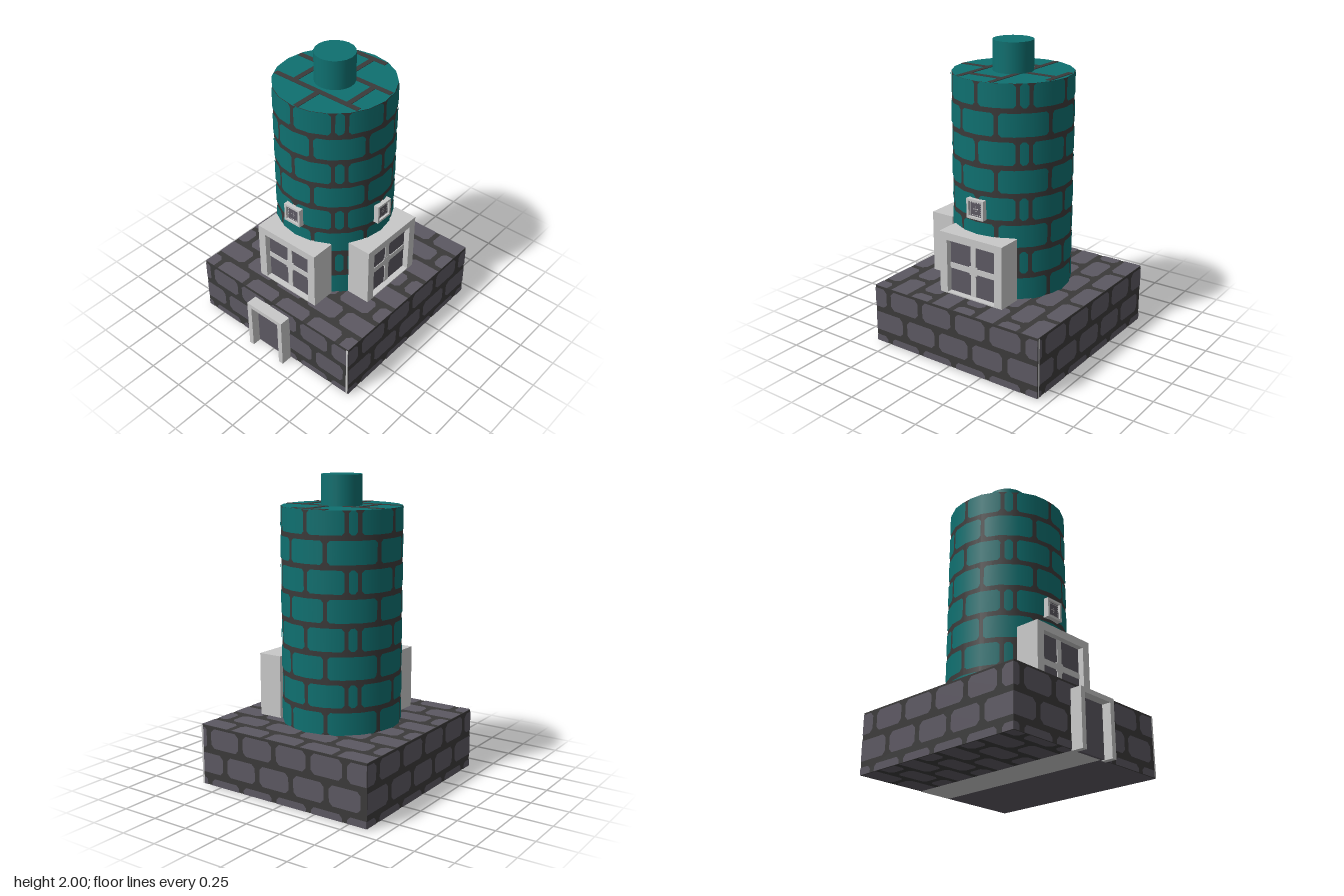
import * as THREE from 'three';
import { mergeGeometries } from 'three/addons/utils/BufferGeometryUtils.js';

const mat = (name, color) => {
  const m = new THREE.MeshStandardMaterial({ color });
  m.name = name;
  return m;
};

// Rectangle with chamfered corners (only on sides that are not cut by the wall edge)
function brickShape(x0, x1, y0, y1, cut) {
  const c = Math.min(0.025, (x1 - x0) / 3, (y1 - y0) / 2.2);
  const bl = cut.l || cut.b ? 0 : c, br = cut.r || cut.b ? 0 : c;
  const tr = cut.r || cut.t ? 0 : c, tl = cut.l || cut.t ? 0 : c;
  const pts = [[x0 + bl, y0], [x1 - br, y0], [x1, y0 + br], [x1, y1 - tr],
    [x1 - tr, y1], [x0 + tl, y1], [x0, y1 - tl], [x0, y0 + bl]];
  const unique = pts.filter((p, i) => {
    const q = pts[(i + 1) % 8];
    return Math.hypot(p[0] - q[0], p[1] - q[1]) > 1e-5;
  });
  return new THREE.Shape(unique.map(([x, y]) => new THREE.Vector2(x, y)));
}

// Running-bond bricks in the xy plane, clipped to w by h; v0 is a bed joint, u0 a joint of the row above it
function brickPanel(w, h, u0, v0, pitch = 0.265, rowHeight = 0.17) {
  const shapes = [], W = w / 2, H = h / 2, half = 0.019;
  for (let k = -10; k <= 10; k++) {
    const a = v0 + k * rowHeight + half, b = v0 + (k + 1) * rowHeight - half;
    const y0 = Math.max(a, -H), y1 = Math.min(b, H);
    if (y1 - y0 < 0.008) continue;
    for (let j = -10; j <= 10; j++) {
      const u = u0 + (j + (k % 2 ? 0.5 : 0)) * pitch;
      const x0 = Math.max(u + half, -W), x1 = Math.min(u + pitch - half, W);
      if (x1 - x0 < 0.008) continue;
      shapes.push(brickShape(x0, x1, y0, y1,
        { l: u + half < -W, r: u + pitch - half > W, b: a < -H, t: b > H }));
    }
  }
  return new THREE.ShapeGeometry(shapes);
}

// Brick that follows the facets of a round wall
const SIDES = 20, STEP = Math.PI * 2 / SIDES;
function curvedBrick(a0, a1, y0, y1, radius) {
  const c = Math.min(0.045, (a1 - a0) / 3), ch = 0.018;
  const cols = [[a0, ch], [a0 + c, 0], [a1 - c, 0], [a1, ch]];
  for (let i = Math.ceil(a0 / STEP); i * STEP < a1; i++) {
    const a = i * STEP;
    const inset = ch * Math.max(0, 1 - Math.min(a - a0, a1 - a) / c);
    if (cols.every(q => Math.abs(q[0] - a) > 1e-4)) cols.push([a, inset]);
  }
  cols.sort((p, q) => p[0] - q[0]);
  const pos = [], nor = [], idx = [];
  cols.forEach(([a, inset], i) => {
    const local = a - Math.floor(a / STEP + 1e-6) * STEP - STEP / 2;
    const r = radius * Math.cos(STEP / 2) / Math.cos(local);
    const s = Math.sin(a), k = Math.cos(a);
    pos.push(r * s, y0 + inset, r * k, r * s, y1 - inset, r * k);
    nor.push(s, 0, k, s, 0, k);
    if (i) { const n = 2 * i; idx.push(n - 2, n, n + 1, n - 2, n + 1, n - 1); }
  });
  const g = new THREE.BufferGeometry();
  g.setAttribute('position', new THREE.Float32BufferAttribute(pos, 3));
  g.setAttribute('normal', new THREE.Float32BufferAttribute(nor, 3));
  g.setIndex(idx);
  return g;
}

export function createModel() {
  const teal = mat('tealBrick', 0x0f7070), mortar = mat('mortar', 0x3b3a3a);
  const stone = mat('greyStone', 0x5c5862), trim = mat('paleTrim', 0xc8c8c8);
  const model = new THREE.Group();

  const add = (parent, name, geo, material, x = 0, y = 0, z = 0) => {
    const m = new THREE.Mesh(geo, material);
    m.name = name;
    m.position.set(x, y, z);
    parent.add(m);
    return m;
  };
  const box = (w, h, d) => new THREE.BoxGeometry(w, h, d);
  const plane = (w, h) => new THREE.PlaneGeometry(w, h);

  // Square base with brick faces
  const S = 1.274, H = 0.4, zc = -0.04, yc = 0.21, off = S / 2 + 0.003;
  const base = new THREE.Group();
  base.name = 'base';
  base.position.set(0, yc, zc);
  model.add(base);
  add(base, 'baseBlock', box(S, H, S), mortar);
  for (let i = 0; i < 4; i++) {
    const side = new THREE.Group();
    side.name = 'baseWall';
    side.rotation.y = i * Math.PI / 2;
    base.add(side);
    add(side, 'wallBricks', brickPanel(S, H, i % 2 ? -0.26 : -0.312, 0.035), stone, 0, 0, off);
    // Pale seam on the +x edge of the front and back
    if (i % 2 === 0) add(side, 'cornerSeam', plane(0.014, H), trim, (i ? -1 : 1) * (S / 2 - 0.007), 0, off + 0.002);
  }
  add(base, 'terraceBricks', brickPanel(S, S, 0, 0.33, 0.271), stone, 0, H / 2 + 0.003, 0).rotation.x = -Math.PI / 2;

  // Underside: plain half, pale strip and brick half
  const under = (name, geo, material, x) => {
    add(base, name, geo, material, x, -H / 2 - 0.003, 0).rotation.x = Math.PI / 2;
  };
  under('undersidePlain', plane(0.537, S), stone, 0.3685);
  under('undersideStrip', plane(0.25, S), trim, -0.025);
  under('undersideBricks', brickPanel(0.487, S, 0, 0.04), stone, -0.3935);

  // Round tower
  const R = 0.39, y0 = 0.41, y1 = 1.805;
  const tower = new THREE.Group();
  tower.name = 'tower';
  tower.position.set(-0.02, 0, -0.04);
  model.add(tower);
  add(tower, 'towerCore', new THREE.CylinderGeometry(R - 0.004, R - 0.004, y1 - y0, SIDES),
    [mortar, teal, mortar], 0, (y0 + y1) / 2, 0);
  const bricks = [], deg = Math.PI / 180, jointHalf = 1.9;
  for (let row = 0; row < 8; row++) {
    const top = row ? 1.64 - (row - 1) * 0.178 - 0.016 : y1;
    const bottom = Math.max(1.64 - row * 0.178 + 0.016, y0);
    if (top - bottom < 0.01) continue;
    const joints = row % 2 ? [-19.5, 19.5, 70.5] : [-39, 0, 39, 51];
    for (let q = 0; q < 4; q++)
      for (let j = 0; j < joints.length - 1; j++)
        bricks.push(curvedBrick((q * 90 + joints[j] + jointHalf) * deg,
          (q * 90 + joints[j + 1] - jointHalf) * deg, bottom, top, R));
  }
  add(tower, 'towerBricks', mergeGeometries(bricks), teal);

  // Mortar lines on the roof, cut to the round outline
  for (const z of [-0.34, -0.087, 0.172]) {
    const len = 2 * Math.sqrt(0.38 ** 2 - (Math.abs(z) + 0.018) ** 2);
    add(tower, 'roofBedJoint', box(len, 0.004, 0.036), mortar, 0, y1 + 0.001, z);
  }
  for (const [x, za, zb] of [[0.025, -0.34, -0.087], [-0.18, -0.087, 0.172], [0.24, -0.087, 0.172], [0.025, 0.172, 0.378]])
    add(tower, 'roofJoint', box(0.036, 0.004, zb - za), mortar, x, y1 + 0.001, (za + zb) / 2);
  add(tower, 'chimney', new THREE.CylinderGeometry(0.13, 0.13, 0.2, SIDES), teal, 0, 1.9, 0);

  // Frame open at the bottom, facing +z, standing on y = 0
  const openFrame = (w, h, iw, ih, depth) => {
    const pts = [[-w, 0], [-iw, 0], [-iw, ih], [iw, ih], [iw, 0], [w, 0], [w, h], [-w, h]];
    return new THREE.ExtrudeGeometry(new THREE.Shape(pts.map(([x, y]) => new THREE.Vector2(x, y))),
      { depth, bevelEnabled: false });
  };

  // Doorway
  const door = new THREE.Group();
  door.name = 'door';
  door.position.set(-0.012, 0, 0.597);
  model.add(door);
  add(door, 'doorFrame', openFrame(0.152, 0.37, 0.117, 0.34, 0.08), trim);
  add(door, 'doorPanel', box(0.234, 0.335, 0.02), stone, 0, 0.1725, 0.01);

  // Bay window and small upper window, on the front and on the +x side
  const makeWindows = (turn, shift) => {
    const pivot = new THREE.Group();
    pivot.name = 'windows';
    pivot.position.copy(tower.position);
    pivot.rotation.y = turn;
    model.add(pivot);

    const bay = new THREE.Group();
    bay.name = 'bayWindow';
    bay.position.set(shift, 0.412, 0.315);
    pivot.add(bay);
    add(bay, 'bayFrame', openFrame(0.242, 0.418, 0.184, 0.367, 0.165), trim);
    add(bay, 'baySill', box(0.368, 0.008, 0.165), trim, 0, 0.004, 0.0825);
    add(bay, 'bayGlass', box(0.368, 0.367, 0.12), stone, 0, 0.1835, 0.065);
    add(bay, 'uprightBar', box(0.038, 0.367, 0.006), trim, -0.003, 0.1835, 0.127);
    add(bay, 'crossBar', box(0.368, 0.038, 0.006), trim, 0, 0.185, 0.127);
    add(bay, 'barBoss', box(0.062, 0.058, 0.008), trim, -0.003, 0.185, 0.127);

    const small = new THREE.Group();
    small.name = 'smallWindow';
    small.position.set(0, 1, 0.375);
    pivot.add(small);
    for (const s of [-1, 1]) {
      add(small, 'smallFrameSide', box(0.015, 0.13, 0.08), trim, s * 0.0565, 0, 0);
      add(small, 'smallFrameRail', box(0.098, 0.015, 0.08), trim, 0, s * 0.0575, 0);
    }
    add(small, 'smallPanel', box(0.098, 0.1, 0.05), stone, 0, 0, 0);
    const studs = [];
    for (let i = -3; i <= 3; i++)
      for (let j = -3; j <= 3; j++)
        if (Math.max(Math.abs(i), Math.abs(j)) === 3 || Math.abs(i) + Math.abs(j) <= 1)
          studs.push(plane(0.007, 0.007).translate(i * 0.0135, j * 0.0135, 0));
    add(small, 'smallWindowStuds', mergeGeometries(studs), trim, 0, 0, 0.027);
  };
  makeWindows(0, 0);
  makeWindows(Math.PI / 2, 0.01);
  return model;
}
